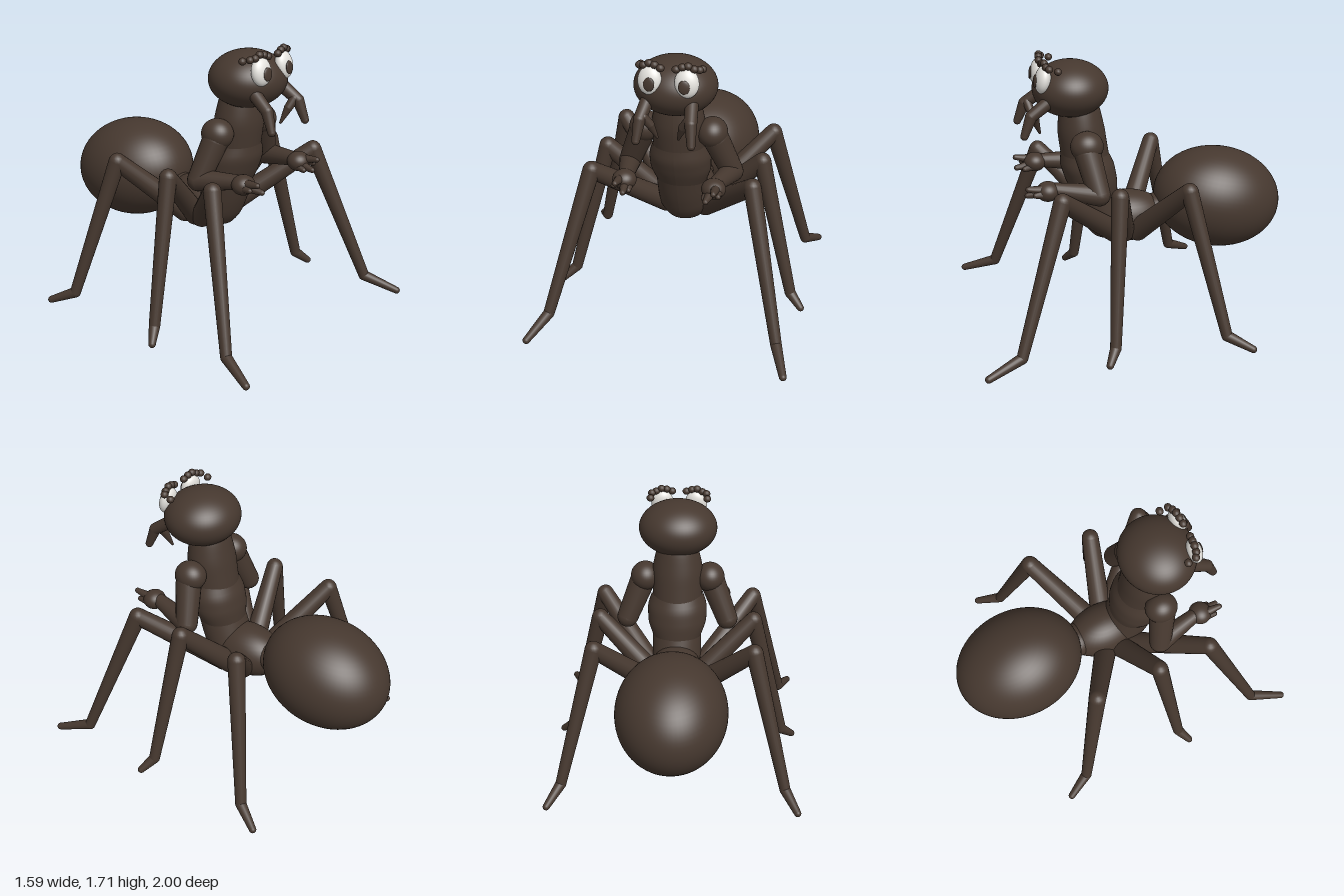
import * as THREE from 'three';
import { mergeGeometries } from 'three/addons/utils/BufferGeometryUtils.js';

const brown = new THREE.MeshStandardMaterial({ color: 0x46382f });
brown.name = 'dark brown';
const white = new THREE.MeshStandardMaterial({ color: 0xe4e2dd });
white.name = 'eye white';

const V = (p) => new THREE.Vector3(...p);

function add(parent, name, geometry, material = brown) {
  const mesh = new THREE.Mesh(geometry, material);
  mesh.name = name;
  parent.add(mesh);
  return mesh;
}

// Scaled sphere
function ellipsoid(parent, name, pos, radii, rotX = 0, material = brown, detail = 40) {
  const mesh = add(parent, name, new THREE.SphereGeometry(1, detail, detail / 2), material);
  mesh.position.set(...pos);
  mesh.scale.set(...radii);
  mesh.rotation.x = rotX;
  return mesh;
}

// Chain of tapered rods with a ball at every joint
function limb(parent, name, points, radii, sides = 20) {
  const parts = [];
  points.forEach((p, i) => {
    parts.push(new THREE.SphereGeometry(radii[i], sides, sides / 2).translate(...p));
    if (i === 0) return;
    const a = V(points[i - 1]), b = V(p), dir = b.clone().sub(a);
    const rod = new THREE.CylinderGeometry(radii[i], radii[i - 1], dir.length(), sides, 1, true);
    rod.applyQuaternion(new THREE.Quaternion().setFromUnitVectors(V([0, 1, 0]), dir.normalize()));
    const mid = a.add(b).multiplyScalar(0.5);
    parts.push(rod.translate(mid.x, mid.y, mid.z));
  });
  return add(parent, name, mergeGeometries(parts));
}

// Smooth body section through oval rings, top to bottom: [y, z, rx, rz]
function loft(parent, name, rings) {
  const centre = new THREE.CatmullRomCurve3(rings.map(([y, z]) => V([0, y, z])));
  const size = new THREE.CatmullRomCurve3(rings.map(([, , rx, rz]) => V([rx, 0, rz])));
  const geo = new THREE.CylinderGeometry(1, 1, 1, 48, 12, true);
  const pos = geo.attributes.position;
  for (let i = 0; i < pos.count; i++) {
    const t = Math.min(1, Math.max(0, 0.5 - pos.getY(i)));
    const c = centre.getPoint(t), r = size.getPoint(t);
    pos.setXYZ(i, pos.getX(i) * r.x, c.y, c.z + pos.getZ(i) * r.z);
  }
  geo.computeVertexNormals();
  return add(parent, name, geo);
}

export function createModel() {
  const model = new THREE.Group();
  model.name = 'ant';

  // Body
  ellipsoid(model, 'abdomen', [0, 0.725, -0.595], [0.335, 0.32, 0.41], -0.19, brown, 64);
  ellipsoid(model, 'waist', [0, 0.67, -0.2], [0.11, 0.1, 0.12]);
  ellipsoid(model, 'lowerBody', [0, 0.645, 0], [0.165, 0.165, 0.25]);
  loft(model, 'belly', [[0.84, 0.2, 0.155, 0.145], [0.72, 0.16, 0.155, 0.15],
    [0.62, 0.12, 0.15, 0.15], [0.54, 0.09, 0.11, 0.12], [0.5, 0.07, 0.02, 0.02]]);
  loft(model, 'midBody', [[1.09, 0.26, 0.16, 0.145], [1.0, 0.24, 0.187, 0.165],
    [0.92, 0.22, 0.185, 0.16], [0.82, 0.195, 0.152, 0.14]]);
  loft(model, 'chest', [[1.43, 0.29, 0.11, 0.11], [1.36, 0.285, 0.135, 0.125],
    [1.22, 0.275, 0.16, 0.145], [1.07, 0.255, 0.157, 0.147]]);

  // Head
  ellipsoid(model, 'head', [0, 1.5, 0.34], [0.245, 0.17, 0.23], 0, brown, 64);

  for (const s of [1, -1]) {
    const side = s > 0 ? 'left' : 'right';
    const m = (pts) => pts.map(([x, y, z]) => [x * s, y, z]);

    // Eye and pupil
    const eye = new THREE.Group();
    eye.name = side + 'Eye';
    eye.position.set(0.107 * s, 1.59, 0.52);
    eye.rotation.set(-0.2, 0.1 * s, 0.1 * s);
    ellipsoid(eye, 'eyeWhite', [0, 0, 0], [0.07, 0.084, 0.045], 0, white);
    ellipsoid(eye, 'pupil', [-0.012 * s, -0.016, 0.041], [0.033, 0.04, 0.01], 0.08);
    model.add(eye);

    // Beaded eyebrow
    m([[0.178, 1.65, 0.44], [0.172, 1.665, 0.49], [0.145, 1.672, 0.505], [0.112, 1.688, 0.51],
      [0.08, 1.682, 0.515], [0.045, 1.668, 0.52]])
      .forEach((p) => ellipsoid(model, side + 'BrowBead', p, [0.025, 0.022, 0.023], 0, brown, 16));

    // Mandible with inner prong
    limb(model, side + 'Mandible',
      m([[0.13, 1.45, 0.5], [0.148, 1.38, 0.6], [0.16, 1.265, 0.645]]), [0.04, 0.036, 0.024]);
    limb(model, side + 'MandibleProng',
      m([[0.13, 1.39, 0.585], [0.095, 1.34, 0.57], [0.062, 1.25, 0.54]]), [0.028, 0.026, 0.008]);

    // Arm, hand and fingers
    ellipsoid(model, side + 'Shoulder', [0.205 * s, 1.19, 0.28], [0.092, 0.092, 0.1]);
    limb(model, side + 'Arm',
      m([[0.225, 1.15, 0.28], [0.318, 0.92, 0.23], [0.27, 0.955, 0.48]]), [0.08, 0.068, 0.045]);
    ellipsoid(model, side + 'Palm', [0.267 * s, 0.95, 0.53], [0.072, 0.06, 0.07]);
    [[[0.285, 0.968, 0.57], [0.29, 0.98, 0.65]],
      [[0.255, 0.935, 0.57], [0.245, 0.925, 0.65]],
      [[0.3, 0.945, 0.56], [0.31, 0.945, 0.61]],
      [[0.235, 0.93, 0.55], [0.225, 0.918, 0.6]]]
      .forEach((f) => limb(model, side + 'Finger', m(f), [0.028, 0.017], 12));

    // Legs: hip z, knee z, ankle z, toe z
    [['front', 0.09, 0.48, 0.77, 0.975], ['middle', 0.04, 0.14, 0.215, 0.265],
      ['back', -0.05, -0.28, -0.47, -0.615]].forEach(([name, hip, knee, ankle, toe]) => {
      limb(model, `${name}Leg ${side}`,
        m([[0.125, 0.59, hip], [0.485, 0.96, knee], [0.7, 0.095, ankle], [0.775, 0.025, toe]]),
        [0.07, 0.053, 0.034, 0.022]);
    });
  }
  return model;
}
